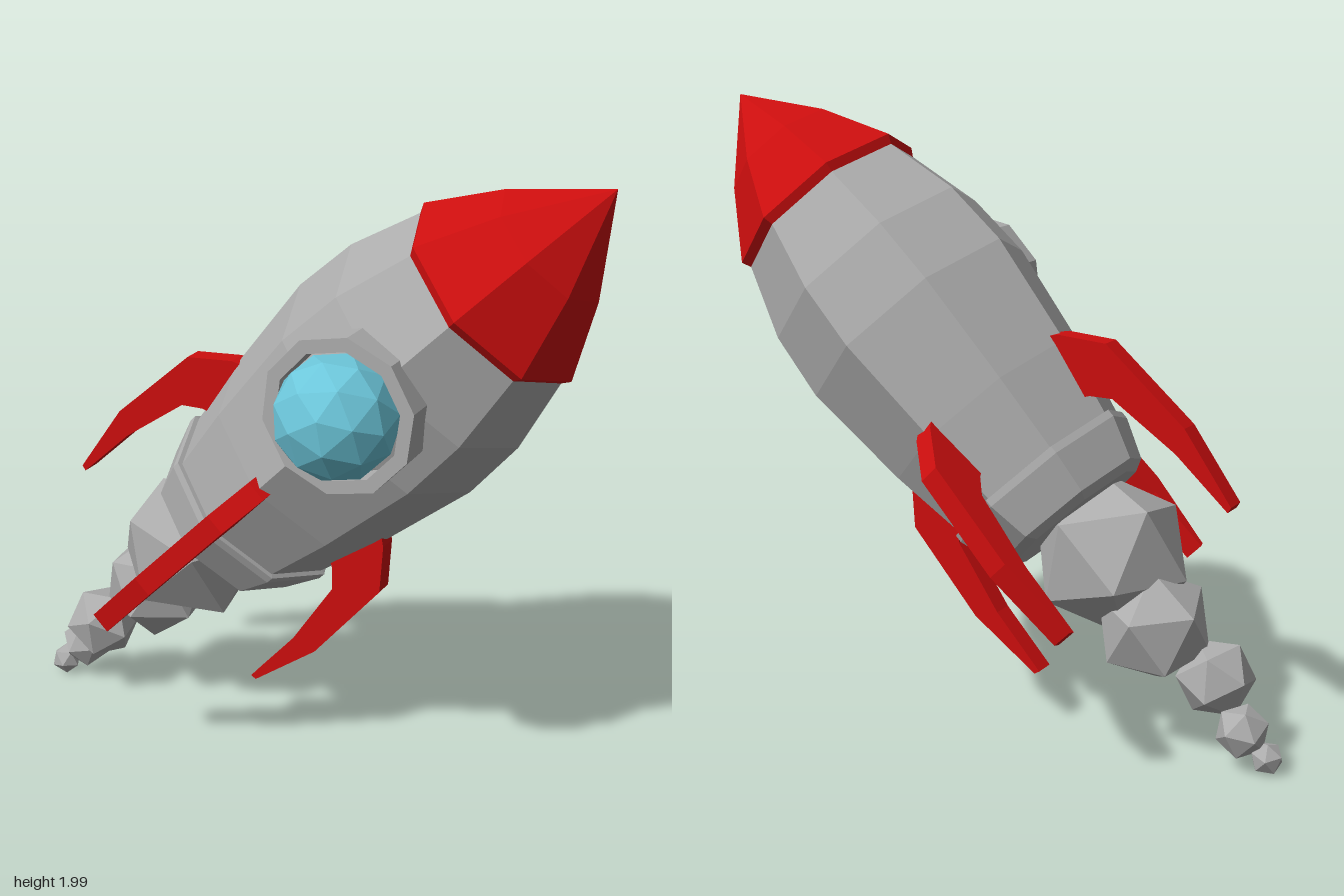
import * as THREE from 'three';

const mat = (name, color) => {
  const m = new THREE.MeshStandardMaterial({ color, flatShading: true });
  m.name = name;
  return m;
};

export function createModel() {
  const model = new THREE.Group();
  model.name = 'rocket';
  const grey = mat('grey hull', 0xadadad);
  const red = mat('red paint', 0xcc0e0e);
  const blue = mat('blue glass', 0x6cc6da);

  const add = (parent, name, geometry, material) => {
    const mesh = new THREE.Mesh(geometry, material);
    mesh.name = name;
    parent.add(mesh);
    return mesh;
  };
  // Eight-sided turned part; profile is [radius, height] from bottom to top
  const turned = (profile) =>
    new THREE.LatheGeometry(profile.map(([r, y]) => new THREE.Vector2(r, y)), 8);

  // Rocket axis leans 45 degrees toward +x
  const rocket = new THREE.Group();
  rocket.name = 'tiltedRocket';
  rocket.position.set(0, 1, -0.05);
  rocket.rotation.z = -Math.PI / 4;
  model.add(rocket);

  add(rocket, 'hull', turned([
    [0, -0.24], [0.315, -0.24], [0.37, 0.045], [0.417, 0.417], [0.4, 0.645], [0.325, 0.9], [0, 0.9],
  ]), grey);
  add(rocket, 'engineCollar', turned([
    [0, -0.39], [0.25, -0.39], [0.29, -0.367], [0.337, -0.235], [0.337, -0.21], [0.3, -0.205],
  ]), grey);
  add(rocket, 'noseCone', turned([
    [0, 0.89], [0.327, 0.89], [0.343, 0.92], [0.212, 1.146], [0, 1.407],
  ]), red);

  // Four swept fins around the axis
  const finOutline = [
    [0.25, 0.15], [0.385, 0.06], [0.492, -0.062], [0.518, -0.416], [0.472, -0.685],
    [0.452, -0.69], [0.44, -0.455], [0.39, -0.2], [0.335, -0.145], [0.25, -0.1],
  ].map(([x, y]) => new THREE.Vector2(x, y));
  const finGeometry = new THREE.ExtrudeGeometry(new THREE.Shape(finOutline), {
    depth: 0.07, bevelEnabled: false,
  });
  finGeometry.translate(0, 0, -0.035);
  for (let i = 0; i < 4; i++) {
    add(rocket, 'fin' + (i + 1), finGeometry, red).rotation.y = (i * Math.PI) / 2;
  }

  // Round window on the front: ten-sided frame and domed glass
  const porthole = new THREE.Group();
  porthole.name = 'porthole';
  porthole.position.set(0.332, 1.345, 0);
  model.add(porthole);
  const ring = (r) => Array.from({ length: 10 }, (_, i) => {
    const a = (i * Math.PI) / 5 + 0.19;
    return new THREE.Vector2(Math.cos(a) * r, Math.sin(a) * r);
  });
  const frame = new THREE.Shape(ring(0.247));
  frame.holes.push(new THREE.Path(ring(0.203).reverse()));
  const frameGeometry = new THREE.ExtrudeGeometry(frame, { depth: 0.23, bevelEnabled: false });
  frameGeometry.translate(0, 0, 0.15);
  add(porthole, 'windowFrame', frameGeometry, grey);
  const glass = add(porthole, 'windowGlass', new THREE.IcosahedronGeometry(0.192, 1), blue);
  glass.position.z = 0.378;
  glass.rotation.set(0.3, 0.2, 0.1);

  // Exhaust puffs shrinking toward the ground: x, y, z, radius
  [
    [-0.4, 0.625, -0.04, 0.26],
    [-0.57, 0.43, -0.075, 0.19],
    [-0.757, 0.27, -0.015, 0.13],
    [-0.87, 0.135, -0.065, 0.087],
    [-0.948, 0.058, -0.05, 0.054],
  ].forEach(([x, y, z, r], i) => {
    const puff = add(model, 'smokePuff' + (i + 1), new THREE.IcosahedronGeometry(r, 0), grey);
    puff.position.set(x, y, z);
    puff.rotation.set(0.4 + i * 1.3, 0.7 + i * 0.9, 0.2 + i * 0.5);
  });

  return model;
}
